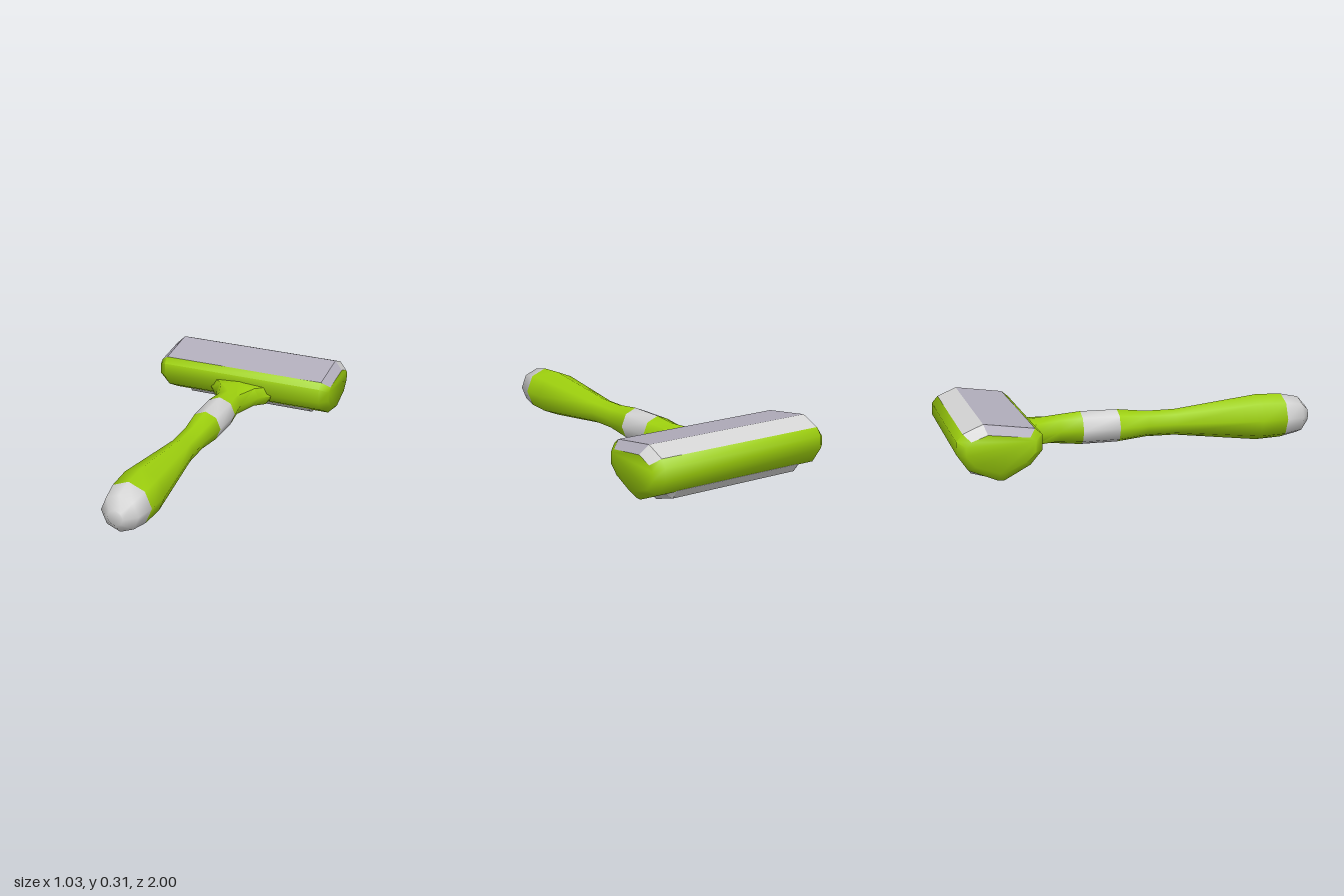
import * as THREE from 'three';
import { toCreasedNormals } from 'three/addons/utils/BufferGeometryUtils.js';

const green = new THREE.MeshStandardMaterial({ name: 'lime green', color: 0x9fd20e });
const white = new THREE.MeshStandardMaterial({ name: 'light grey', color: 0xd4d4d4 });
const mauve = new THREE.MeshStandardMaterial({ name: 'mauve grey', color: 0xb3afbd });

// Joins rings of points into a skin; keep(row, side) selects the faces to build.
function loft(name, rings, material, { keep = () => true, front = false, back = false, crease = 1 } = {}) {
  const pos = [];
  const tri = (...pts) => pts.forEach((p) => pos.push(...p));
  const n = rings[0].length;
  for (let j = 0; j < rings.length - 1; j++) {
    for (let i = 0; i < n; i++) {
      if (!keep(j, i)) continue;
      const k = (i + 1) % n;
      const [a, b, c, d] = [rings[j][i], rings[j][k], rings[j + 1][k], rings[j + 1][i]];
      tri(a, d, c);
      tri(a, c, b);
    }
  }
  const last = rings[rings.length - 1];
  for (let i = 1; i < n - 1; i++) {
    if (front) tri(rings[0][0], rings[0][i], rings[0][i + 1]);
    if (back) tri(last[0], last[i + 1], last[i]);
  }
  const geometry = new THREE.BufferGeometry();
  geometry.setAttribute('position', new THREE.Float32BufferAttribute(pos, 3));
  const mesh = new THREE.Mesh(toCreasedNormals(geometry, crease), material);
  mesh.name = name;
  return mesh;
}

// Eight-sided handle ring; a power below 1 makes it boxier.
function handleRing([z, rx, ry, y, power = 1]) {
  const bend = (v) => Math.sign(v) * Math.abs(v) ** power;
  return Array.from({ length: 8 }, (_, i) => {
    const t = (i * Math.PI) / 4;
    const c = i % 4 === 2 ? 0 : Math.cos(t);
    const s = i % 4 === 0 ? 0 : Math.sin(t);
    return [rx * bend(c), y + ry * bend(s), z];
  });
}

// Rings along x of a [z, y] profile, pulled in at both ends to form a bevel.
function bevelledRings(profile, halfFull, halfEnd, zMid, yMid, zScale, yScale) {
  const ring = (x, sz, sy) =>
    profile.map(([z, y]) => [x, yMid + (y - yMid) * sy, zMid + (z - zMid) * sz]);
  return [
    ring(halfEnd, zScale, yScale), ring(halfFull, 1, 1),
    ring(-halfFull, 1, 1), ring(-halfEnd, zScale, yScale),
  ];
}

export function createModel() {
  const model = new THREE.Group();
  model.name = 'brush';

  // Handle: z, half width, half height, centre height
  const handle = [
    [1.0, 0.042, 0.042, 0.147],
    [0.95, 0.1, 0.1, 0.147],
    [0.85, 0.121, 0.121, 0.147],
    [0.71, 0.127, 0.127, 0.147],
    [0.24, 0.071, 0.071, 0.147],
    [0.08, 0.07, 0.07, 0.147],
    [-0.08, 0.088, 0.088, 0.147],
    [-0.28, 0.091, 0.089, 0.147],
    [-0.4, 0.076, 0.078, 0.148],
    [-0.54, 0.13, 0.067, 0.146, 0.7],
    [-0.59, 0.183, 0.062, 0.144, 0.5],
    [-0.66, 0.19, 0.06, 0.143, 0.5],
  ].map(handleRing);
  model.add(
    loft('handleTip', handle.slice(0, 3), white, { front: true }),
    loft('grip', handle.slice(2, 7), green),
    loft('handleBand', handle.slice(6, 8), white),
    loft('neck', handle.slice(7), green, { back: true }),
  );

  // Head: profile runs from the lower front, under the back, and over the top
  const profile = [
    [-0.58, 0.24], [-0.58, 0.16], [-0.64, 0.09], [-0.77, 0.02], [-0.8, 0.02], [-0.945, 0.08],
    [-1.0, 0.16], [-1.0, 0.225], [-0.968, 0.262], [-0.868, 0.305], [-0.615, 0.27],
  ];
  const head = bevelledRings(profile, 0.47, 0.515, -0.786, 0.1625, 0.81, 0.68);
  model.add(
    loft('headBody', head, green, { keep: (j, i) => i !== 8 && i !== 9, front: true, back: true }),
    loft('topBackStrip', head, white, { keep: (j, i) => i === 8, crease: 0.3 }),
    loft('topPlate', head, mauve, { keep: (j, i) => i === 9, crease: 0.3 }),
  );

  // Strip under the head, with bevelled ends
  const strip = [
    [-0.715, 0.055], [-0.745, 0.02], [-0.785, 0.0], [-0.92, 0.04], [-0.95, 0.085], [-0.83, 0.1],
  ];
  const stripRings = bevelledRings(strip, 0.37, 0.4, -0.83, 0.085, 0.85, 0.53);
  model.add(loft('undersideStrip', stripRings, white, { front: true, back: true, crease: 0.4 }));

  return model;
}
